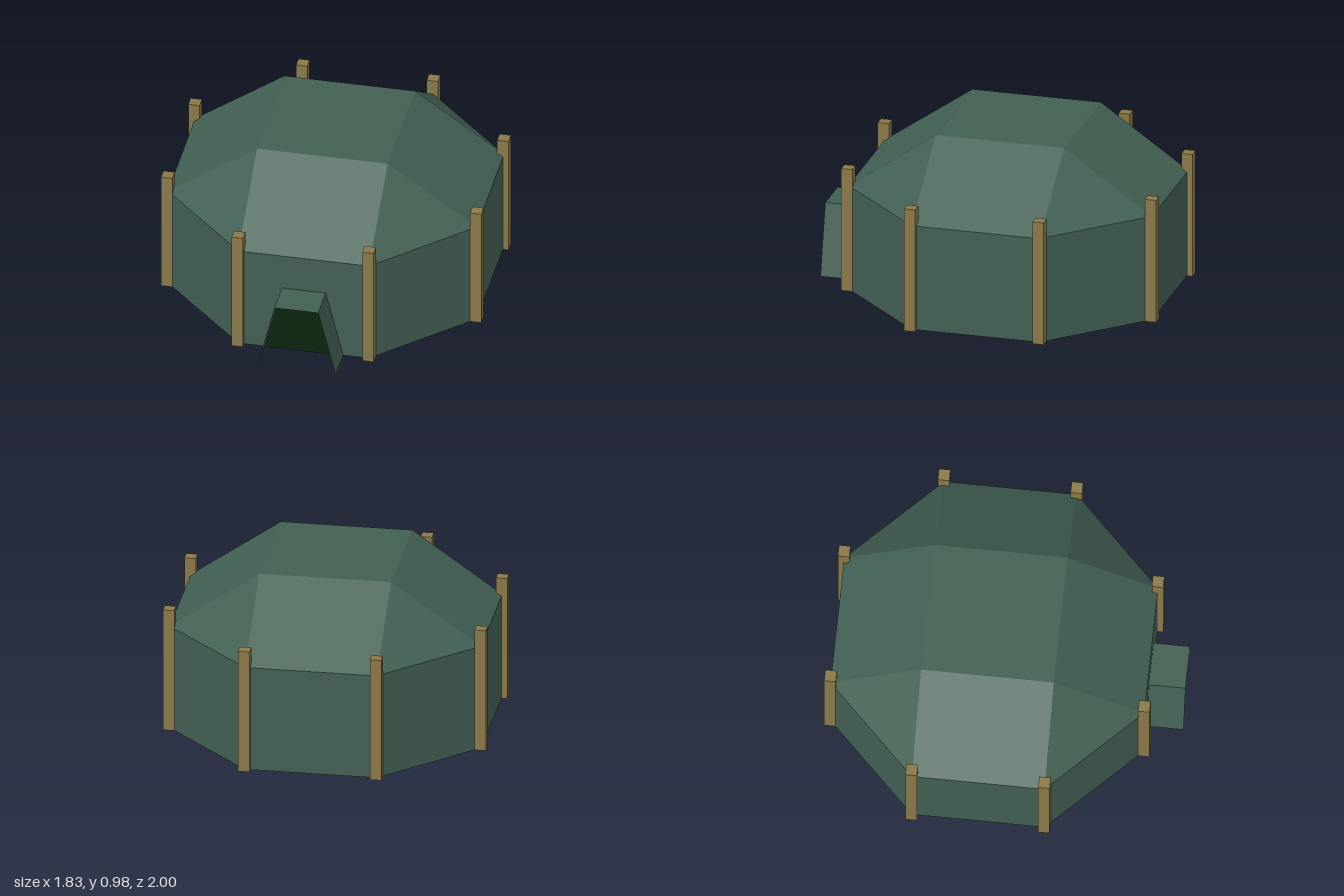
import * as THREE from 'three';

const A = 0.373, B = 0.882;      // half side and half width of the octagon
const WALL = 0.62, TOP = 0.975;  // eaves and roof heights
const CZ = -0.087;               // tent centre along z

// Octagon corners as (x, -z), counter-clockwise seen from above
const RING = [[B, -A], [B, A], [A, B], [-A, B], [-B, A], [-B, -A], [-A, -B], [A, -B]];

function makeMesh(name, geometry, material) {
  const mesh = new THREE.Mesh(geometry, material);
  mesh.name = name;
  return mesh;
}

// Unindexed geometry with flat faces from a list of points
function facets(points) {
  const g = new THREE.BufferGeometry();
  g.setAttribute('position', new THREE.Float32BufferAttribute(points.flat(), 3));
  g.computeVertexNormals();
  return g;
}

// Four slopes and four corner triangles rising to a flat square
function roofGeometry() {
  const low = ([x, y]) => [x, WALL, -y];
  const high = ([x, y]) => [Math.sign(x) * A, TOP, -Math.sign(y) * A];
  const pts = [];
  RING.forEach((p, i) => {
    const q = RING[(i + 1) % 8];
    pts.push(low(p), low(q), high(q));
    if (i % 2 === 0) pts.push(low(p), high(q), high(p));
  });
  const [a, b, c, d] = [0, 2, 4, 6].map((i) => high(RING[i]));
  pts.push(a, b, c, a, c, d);
  return facets(pts);
}

export function createModel() {
  const canvas = new THREE.MeshStandardMaterial({ color: 0x436053 });
  canvas.name = 'canvas green';
  canvas.side = THREE.DoubleSide;
  const wood = new THREE.MeshStandardMaterial({ color: 0x8a794a });
  wood.name = 'post wood';
  const dark = new THREE.MeshStandardMaterial({ color: 0x0d240f });
  dark.name = 'doorway dark green';

  const model = new THREE.Group();
  model.name = 'tent';

  // Octagonal body and roof
  const body = new THREE.Group();
  body.name = 'tentBody';
  body.position.z = CZ;
  const outline = new THREE.Shape(RING.map(([x, y]) => new THREE.Vector2(x, y)));
  const walls = new THREE.ExtrudeGeometry(outline, { depth: WALL, bevelEnabled: false });
  walls.rotateX(-Math.PI / 2);
  body.add(makeMesh('walls', walls, canvas), makeMesh('roof', roofGeometry(), canvas));

  // A square post at every corner
  const postGeometry = new THREE.BoxGeometry(0.065, 0.73, 0.065);
  for (const [x, y] of RING) {
    const post = makeMesh('post', postGeometry, wood);
    post.position.set(x, 0.365, -y);
    body.add(post);
  }
  model.add(body);

  // Open entrance hood: two leaning sides and a flat top
  const wallZ = CZ + B, hoodZ = 1;
  const arch = [[0.225, 0], [0.125, 0.405], [-0.125, 0.405], [-0.225, 0]];
  const hood = [];
  for (let i = 0; i < 3; i++) {
    const [p, q] = [arch[i], arch[i + 1]];
    hood.push([...p, hoodZ], [...p, wallZ], [...q, wallZ]);
    hood.push([...p, hoodZ], [...q, wallZ], [...q, hoodZ]);
  }
  model.add(makeMesh('entranceHood', facets(hood), canvas));

  // Dark doorway on the front wall
  const doorShape = new THREE.Shape(arch.map(([x, y]) => new THREE.Vector2(x, y)));
  const door = makeMesh('doorway', new THREE.ShapeGeometry(doorShape), dark);
  door.position.z = wallZ + 0.004;
  model.add(door);

  return model;
}
